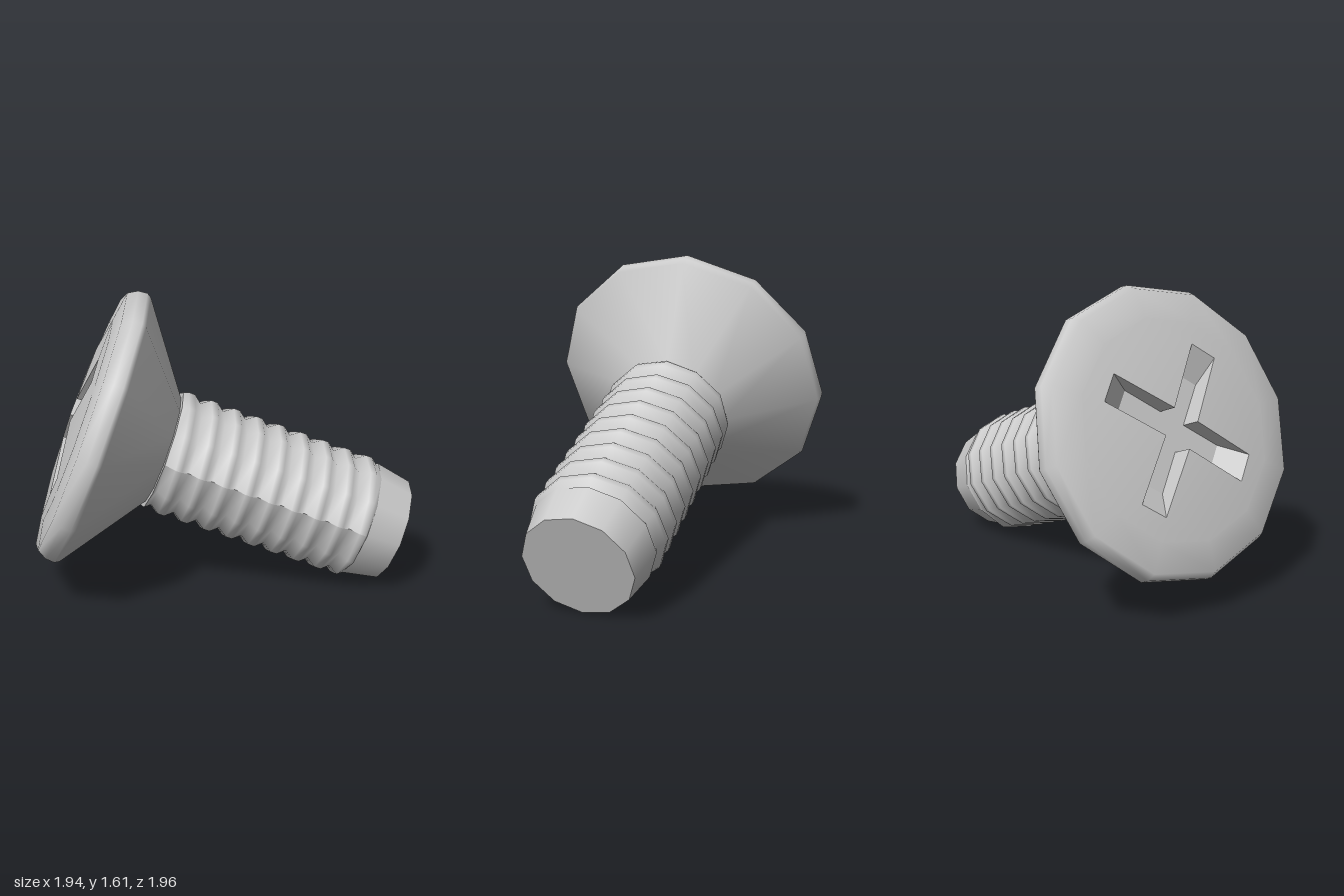
import * as THREE from 'three';

const SIDES = 12;
const PHASE = THREE.MathUtils.degToRad(4.6);
const RIM_R = 0.735, RIM_Y = 1.815, DOME = 0.06, FACE_R = 0.58;
const material = new THREE.MeshStandardMaterial({ color: 0xcccccc, side: THREE.DoubleSide });

// Height of the slightly domed head face at radius r
const domeY = (r) => RIM_Y + DOME * (1 - (r / RIM_R) ** 2);

function mesh(name, geometry, parent) {
  const m = new THREE.Mesh(geometry, material);
  m.name = name;
  parent.add(m);
}

function lathe(points) {
  return new THREE.LatheGeometry(points.map(([r, y]) => new THREE.Vector2(r, y)), SIDES, PHASE);
}

// Helical thread, cut off level at both ends
function threadGeometry(bottom, top, pitch) {
  const profile = [[0.1, 0.31], [0.145, 0.346], [0.18, 0.346]];
  const positions = [], index = [];
  const stride = SIDES + 1;
  const turns = Math.ceil((top - bottom) / pitch) + 1;
  for (let k = -3; k < turns; k++) {
    for (const [offset, r] of profile) {
      for (let i = 0; i <= SIDES; i++) {
        const a = PHASE + (i / SIDES) * Math.PI * 2;
        const y = bottom + (k + i / SIDES) * pitch + offset;
        const radius = y < bottom ? 0.325 : y > top ? 0.335 : r;
        positions.push(radius * Math.cos(a), THREE.MathUtils.clamp(y, bottom, top), -radius * Math.sin(a));
      }
    }
  }
  const rows = positions.length / 3 / stride;
  for (let j = 0; j + 1 < rows; j++) {
    for (let i = 0; i < SIDES; i++) {
      const a = j * stride + i, c = a + stride;
      index.push(a, a + 1, c, a + 1, c + 1, c);
    }
  }
  const g = new THREE.BufferGeometry();
  g.setAttribute('position', new THREE.Float32BufferAttribute(positions, 3));
  g.setIndex(index);
  g.computeVertexNormals();
  return g;
}

// Cross slot dimensions
const SLOT = { angle: THREE.MathUtils.degToRad(54.5), w: 0.077, end: 0.45, inner: 0.31, floor: 1.755 };

function slotPoint(u, v, arm) {
  const a = SLOT.angle + arm * Math.PI / 2;
  return new THREE.Vector2(u, v).rotateAround(new THREE.Vector2(), a);
}

// Head face inside radius r, with the cross cut out and the normals of the dome
function faceGeometry(r) {
  const outline = [], cross = [];
  for (let i = 0; i < SIDES; i++) {
    const a = PHASE + (i / SIDES) * Math.PI * 2;
    outline.push(new THREE.Vector2(r * Math.cos(a), r * Math.sin(a)));
  }
  const { w, end } = SLOT;
  for (let arm = 0; arm < 4; arm++) {
    cross.push(slotPoint(end, -w, arm), slotPoint(end, w, arm), slotPoint(w, w, arm));
  }
  const shape = new THREE.Shape(outline);
  shape.holes.push(new THREE.Path(cross));
  const g = new THREE.ShapeGeometry(shape).rotateX(-Math.PI / 2);
  const p = g.attributes.position;
  const slope = 2 * DOME / RIM_R ** 2;
  for (let i = 0; i < p.count; i++) {
    const x = p.getX(i), z = p.getZ(i);
    const n = new THREE.Vector3(slope * x, 1, slope * z).normalize();
    p.setY(i, domeY(Math.hypot(x, z)));
    g.attributes.normal.setXYZ(i, n.x, n.y, n.z);
  }
  return g;
}

// Walls and floor of the cross
function slotGeometry() {
  const { w, end, inner, floor } = SLOT;
  const positions = [];
  const quad = (...q) => [0, 1, 2, 0, 2, 3].forEach((i) => positions.push(...q[i]));
  for (let arm = 0; arm < 4; arm++) {
    const at = (u, v, y) => {
      const p = slotPoint(u, v, arm);
      return [p.x, y ?? domeY(p.length()), -p.y];
    };
    quad(at(end, -w), at(end, w), at(inner, w, floor), at(inner, -w, floor));
    quad(at(inner, -w, floor), at(inner, w, floor), at(w, w, floor), at(w, -w, floor));
    quad(at(end, w), at(w, w), at(w, w, floor), at(inner, w, floor));
    quad(at(w, -w), at(end, -w), at(inner, -w, floor), at(w, -w, floor));
    // Quarter of the centre floor
    positions.push(...at(w, -w, floor), ...at(w, w, floor), 0, floor, 0);
  }
  const g = new THREE.BufferGeometry();
  g.setAttribute('position', new THREE.Float32BufferAttribute(positions, 3));
  g.computeVertexNormals();
  return g;
}

export function createModel() {
  const model = new THREE.Group();
  model.name = 'screw';

  // The screw is built upright from its tip, then tilted into place
  const screw = new THREE.Group();
  screw.name = 'tiltedScrew';
  model.add(screw);

  // Shank
  mesh('tipCap', lathe([[0, 0], [0.288, 0]]), screw);
  mesh('tipTaper', lathe([[0.288, 0], [0.325, 0.2]]), screw);
  mesh('thread', threadGeometry(0.2, 1.35, 0.13), screw);
  mesh('shankLip', lathe([[0.335, 1.35], [0.295, 1.352]]), screw);

  // Countersunk head with a rounded rim
  const head = new THREE.Group();
  head.name = 'head';
  screw.add(head);
  mesh('headCone', lathe([
    [0.3, 1.35], [0.755, 1.69], [0.77, 1.715], [0.765, 1.765], [RIM_R, RIM_Y], [FACE_R, domeY(FACE_R)],
  ]), head);
  mesh('headFace', faceGeometry(FACE_R), head);
  mesh('crossSlot', slotGeometry(), head);

  const axis = new THREE.Vector3(-0.64, 0.357, -0.68).normalize();
  const side = new THREE.Vector3(axis.z, 0, -axis.x).normalize();
  const third = new THREE.Vector3().crossVectors(side, axis);
  screw.quaternion.setFromRotationMatrix(new THREE.Matrix4().makeBasis(side, axis, third));
  screw.position.set(0.76, 0.265, 0.785);
  return model;
}
